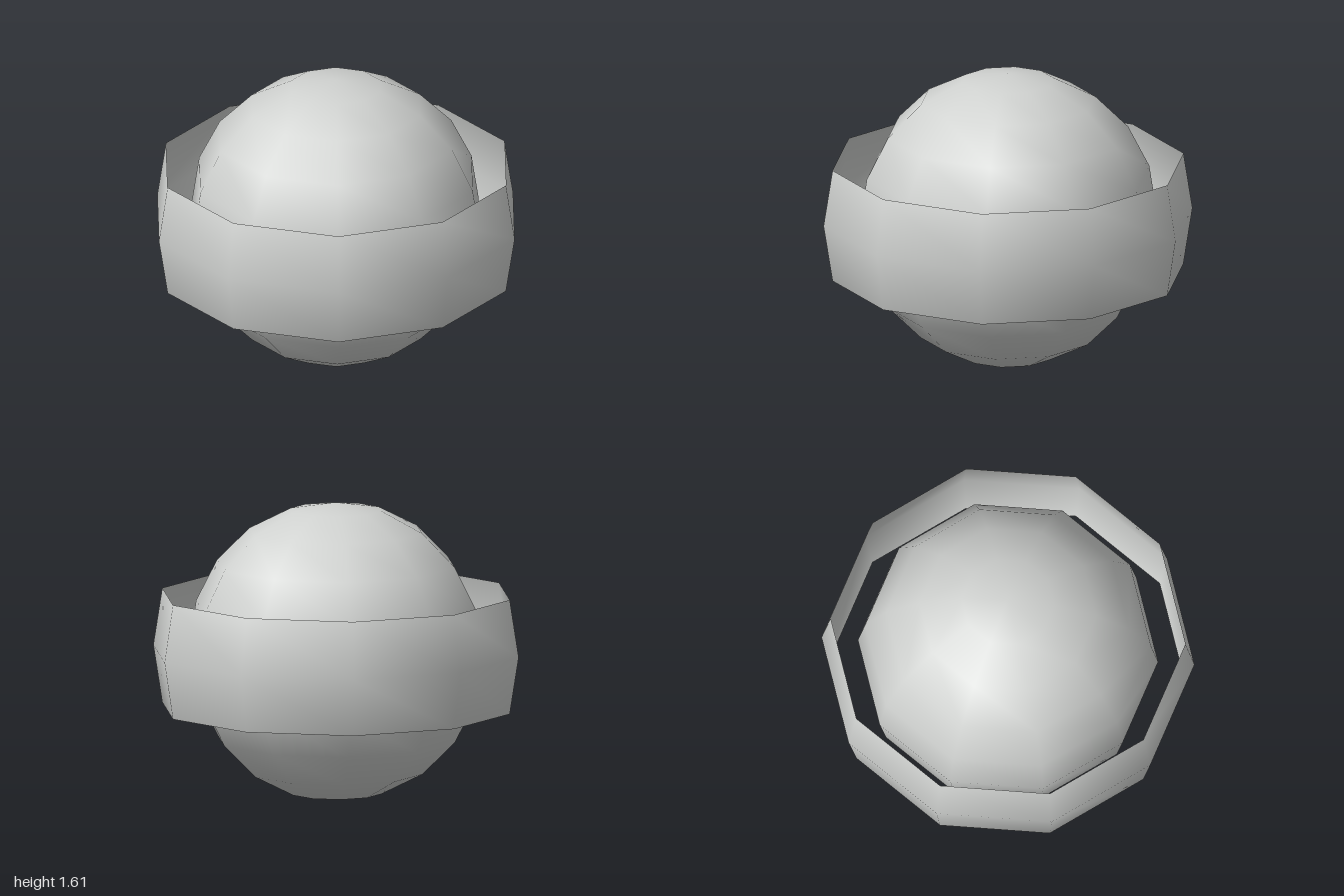
import * as THREE from 'three';

export function createModel() {
  const group = new THREE.Group();
  const CENTRE_Y = 0.805;
  const SEGMENTS = 10;

  const lightGrey = new THREE.MeshStandardMaterial({ color: 0xcfd1cf, side: THREE.DoubleSide });
  lightGrey.name = 'lightGrey';

  const add = (name, geometry) => {
    const mesh = new THREE.Mesh(geometry, lightGrey);
    mesh.name = name;
    mesh.position.y = CENTRE_Y;
    group.add(mesh);
  };

  // Inner ball: ten-sided smooth sphere
  add('core', new THREE.SphereGeometry(0.805, SEGMENTS, SEGMENTS));

  // Open band: the two middle rows of a larger sphere
  const row = Math.PI / SEGMENTS;
  add('equatorBand', new THREE.SphereGeometry(1, SEGMENTS, 2, 0, Math.PI * 2, row * 4, row * 2));

  return group;
}
